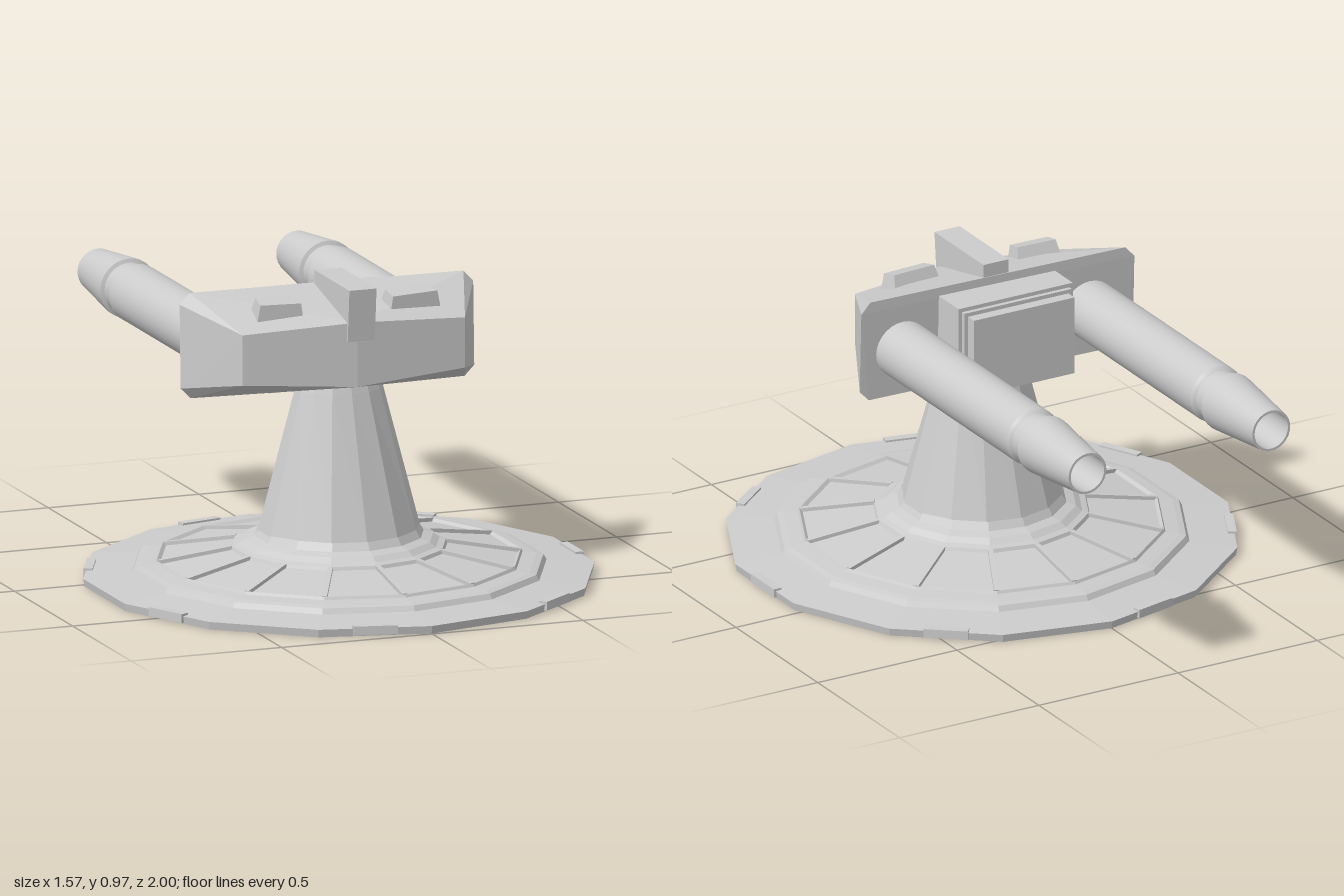
import * as THREE from 'three';
import { toCreasedNormals } from 'three/addons/utils/BufferGeometryUtils.js';
import { ConvexGeometry } from 'three/addons/geometries/ConvexGeometry.js';

const flat = new THREE.MeshStandardMaterial({ color: 0xcccccc, flatShading: true, side: THREE.DoubleSide });
const smooth = new THREE.MeshStandardMaterial({ color: 0xcccccc, side: THREE.DoubleSide });
const SIDES = 14;
const BASE_Z = 0.2;

function add(parent, name, geometry, material = flat) {
  const mesh = new THREE.Mesh(geometry, material);
  mesh.name = name;
  parent.add(mesh);
  return mesh;
}

const lathe = (points, sides) =>
  new THREE.LatheGeometry(points.map(([r, y]) => new THREE.Vector2(r, y)), sides);

// Box whose upper half is narrowed towards its middle
function taperedBox(w, h, d, tx, tz) {
  const g = new THREE.BoxGeometry(w, h, d);
  const p = g.attributes.position;
  for (let i = 0; i < p.count; i++) {
    if (p.getY(i) > 0) p.setXYZ(i, p.getX(i) * tx, p.getY(i), p.getZ(i) * tz);
  }
  return g;
}

function createBase() {
  const base = new THREE.Group();
  base.name = 'base';
  base.position.z = BASE_Z;

  // Stepped round plate, open underneath, with a sunken panel ring
  add(base, 'basePlate', lathe([
    [0.795, 0], [0.8, 0.025], [0.65, 0.038], [0.64, 0.055], [0.62, 0.06], [0.575, 0.066],
    [0.57, 0.075], [0.56, 0.066], [0.34, 0.103], [0.335, 0.114], [0.315, 0.12],
    [0.295, 0.135], [0.265, 0.145], [0.25, 0.17],
  ], SIDES));

  // Column, narrowing a little faster from front to back
  const column = lathe([[0.255, 0.16], [0.14, 0.61], [0.13, 0.64], [0.09, 0.67], [0, 0.68]], SIDES);
  const p = column.attributes.position;
  for (let i = 0; i < p.count; i++) {
    const t = (p.getY(i) - 0.16) / 0.5;
    p.setZ(i, p.getZ(i) * (0.96 - 0.18 * t));
  }
  add(base, 'column', column);

  // Ribs between the panels
  for (let i = 0; i < SIDES; i++) {
    const spoke = new THREE.Group();
    spoke.name = 'panelRib';
    spoke.rotation.y = (i / SIDES) * Math.PI * 2;
    const rib = add(spoke, 'rib', new THREE.BoxGeometry(0.016, 0.014, 0.235));
    rib.position.set(0, 0.089, 0.45);
    rib.rotation.x = 0.166;
    base.add(spoke);
  }

  // Clamps on every second side of the rim
  for (let i = 0; i < SIDES / 2; i++) {
    const arm = new THREE.Group();
    arm.name = 'rimClamp';
    arm.rotation.y = Math.PI / 2 + (i / 7) * Math.PI * 2;
    add(arm, 'clamp', new THREE.BoxGeometry(0.14, 0.028, 0.028)).position.set(0, 0.019, 0.773);
    base.add(arm);
  }
  return base;
}

function createHead() {
  const head = new THREE.Group();
  head.name = 'head';
  head.position.x = -0.005;

  // Wedge-shaped hull, turned slightly
  const points = [];
  for (const s of [-1, 1]) {
    points.push(
      [s * 0.365, 0.84, 0.37], [s * 0.365, 0.68, 0.37],
      [s * 0.45, 0.925, 0.115], [s * 0.482, 0.89, 0.115],
      [s * 0.482, 0.625, 0.125], [s * 0.45, 0.592, 0.125],
    );
  }
  points.push([0, 0.86, 0.405], [0, 0.655, 0.405]);
  const hull = add(head, 'hull', new ConvexGeometry(points.map((q) => new THREE.Vector3(...q))));
  hull.rotation.y = -0.03;

  // Upright fin along the middle
  const side = new THREE.Shape([[0.12, 0.8], [0.405, 0.8], [0.42, 0.967], [0.12, 0.967]]
    .map(([z, y]) => new THREE.Vector2(z, y)));
  const fin = new THREE.ExtrudeGeometry(side, { depth: 0.09, bevelEnabled: false });
  fin.rotateY(-Math.PI / 2).translate(0.045, 0, 0);
  add(head, 'fin', fin);

  // Raised hatches on the sloping top
  for (const [x, z, w, yaw] of [[-0.23, 0.28, 0.155, -0.07], [0.207, 0.292, 0.18, 0.1]]) {
    const hatch = add(head, 'hatch', taperedBox(w, 0.07, 0.085, 0.85, 0.65));
    hatch.position.set(x, 0.888, z);
    hatch.rotation.set(0.22, yaw, 0);
  }

  // Stepped housing at the back
  for (const [w, h, z0, z1] of [
    [0.41, 0.305, 0.14, 0], [0.385, 0.28, 0.02, -0.015], [0.36, 0.255, 0, -0.052],
  ]) {
    add(head, 'rearHousing', new THREE.BoxGeometry(w, h, z0 - z1))
      .position.set(0, 0.745, (z0 + z1) / 2);
  }
  return head;
}

// Hollow barrel running backwards, with a grooved collar and tapering muzzle
function createBarrel() {
  const g = lathe([
    [0, -0.16], [0.093, -0.16], [0.093, 0.665], [0.088, 0.675], [0.083, 0.68], [0.083, 0.73],
    [0.095, 0.735], [0.095, 0.75], [0.068, 1], [0.06, 1], [0.06, 0.75], [0, 0.75],
  ], 28);
  g.rotateX(-Math.PI / 2);
  return toCreasedNormals(g, 0.4);
}

export function createModel() {
  const model = new THREE.Group();
  model.name = 'turret';
  model.add(createBase(), createHead());
  const barrel = createBarrel();
  for (const [name, s] of [['leftBarrel', 1], ['rightBarrel', -1]]) {
    add(model, name, barrel, smooth).position.set(s * 0.33 - 0.005, 0.743, 0);
  }
  return model;
}
